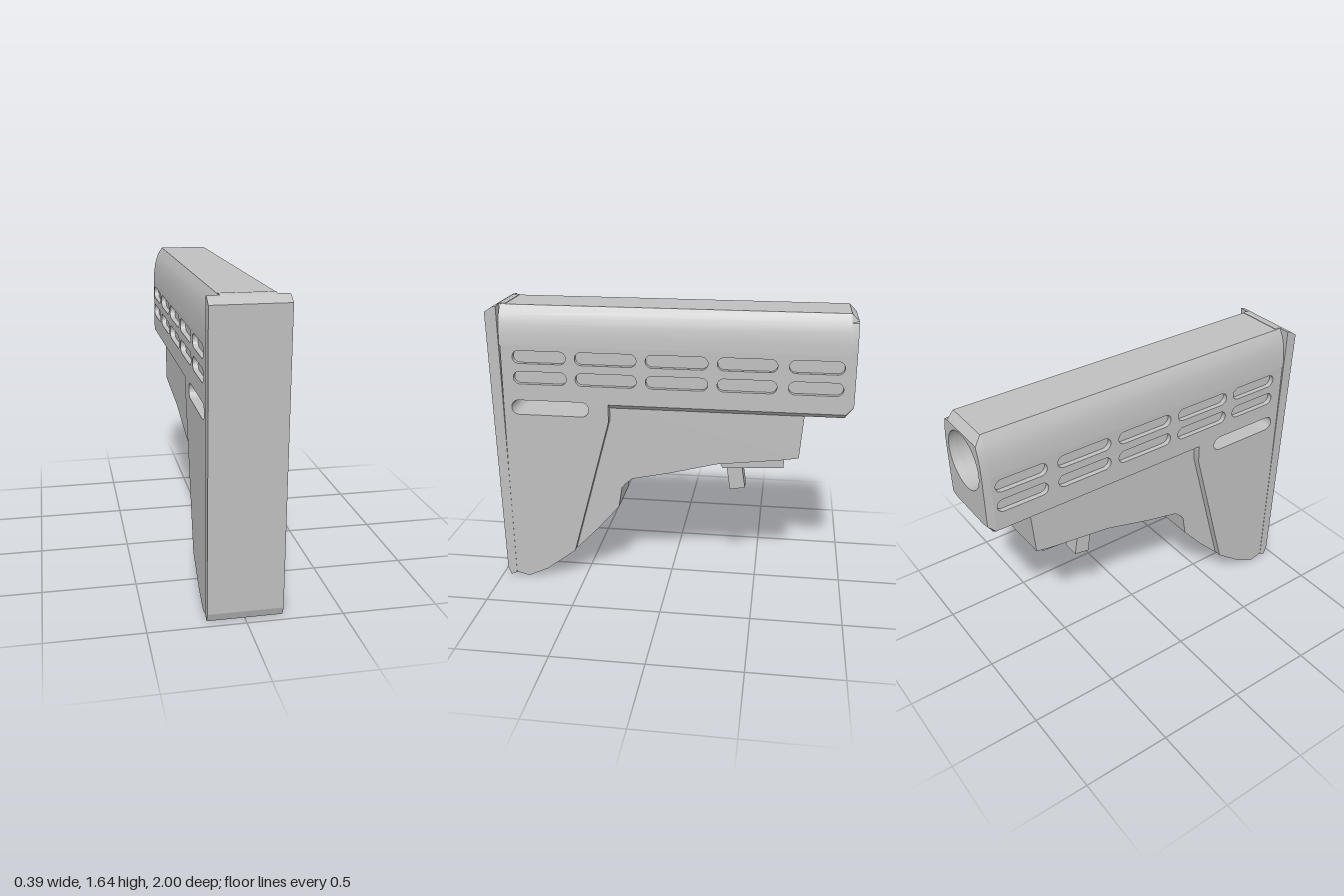
import * as THREE from 'three';
import { toCreasedNormals } from 'three/addons/utils/BufferGeometryUtils.js';

const W = 0.193;      // half width of the body
const SKIN = 0.028;   // depth of the side pockets
const BORE_Y = 1.43, BORE_R = 0.155;

const polygon = (pts) => new THREE.Shape(pts.map(([a, b]) => new THREE.Vector2(a, b)));

// Mirrors the right half of a cross-section (x, y), listed from bottom to top
const mirrored = (pts) => polygon([...pts, ...pts.map(([x, y]) => [-x, y]).reverse()]);

// Rounded slot outline between a and b with height h
function slot(a, b, y, h) {
  const r = h / 2, p = new THREE.Path();
  p.moveTo(a + r, y - r);
  p.lineTo(b - r, y - r);
  p.absarc(b - r, y, r, -Math.PI / 2, Math.PI / 2, false);
  p.lineTo(a + r, y + r);
  p.absarc(a + r, y, r, Math.PI / 2, Math.PI * 1.5, false);
  return p;
}

function boreHole() {
  const p = new THREE.Path();
  p.absarc(0, BORE_Y, BORE_R, 0, Math.PI * 2, true);
  return p;
}

// Side profile in (z, y), extruded across from x0 to x1
function across(shape, x0, x1) {
  const g = new THREE.ExtrudeGeometry(shape, { depth: x1 - x0, bevelEnabled: false, curveSegments: 10 });
  g.rotateY(-Math.PI / 2);
  g.translate(x1, 0, 0);
  return g;
}

// Cross-section in (x, y), extruded lengthwise from z0 to z1
function along(shape, z0, z1) {
  const g = new THREE.ExtrudeGeometry(shape, { depth: z1 - z0, bevelEnabled: false, curveSegments: 24 });
  g.translate(0, 0, z0);
  return g;
}

export function createModel() {
  const model = new THREE.Group();
  model.name = 'shoulderStock';
  const grey = new THREE.MeshStandardMaterial({ color: 0xbfbfbf });
  grey.name = 'grey';

  const add = (name, geometry, crease = 0.45) => {
    const mesh = new THREE.Mesh(toCreasedNormals(geometry, crease), grey);
    mesh.name = name;
    model.add(mesh);
  };

  // Tube housing: rounded top, inset sides, long round bore
  const shoulder = [[W, 1.42], [0.19, 1.48], [0.181, 1.54], [0.165, 1.59], [0.137, 1.635]];
  const core = mirrored([[W - SKIN, 1.12], [W - SKIN, 1.42], ...shoulder]);
  core.holes.push(boreHole());
  add('tubeHousing', along(core, -0.96, 0.93));

  // Rear collar: outer rim tapers towards the open end
  const collar = mirrored([[0.15, 1.075], [W, 1.1], ...shoulder]);
  collar.holes.push(boreHole());
  const collarGeo = along(collar, -1, -0.96);
  const pos = collarGeo.attributes.position;
  for (let i = 0; i < pos.count; i++) {
    const x = pos.getX(i), y = pos.getY(i);
    if (pos.getZ(i) < -0.99 && Math.hypot(x, y - BORE_Y) > BORE_R + 0.005) {
      pos.setX(i, x * 0.96);
      pos.setY(i, THREE.MathUtils.clamp(y, y < 1.09 ? 1.13 : 1.14, 1.595));
    }
  }
  collarGeo.computeVertexNormals();
  add('rearCollar', collarGeo, 0.3);

  // Side skins with two rows of pockets
  const skin = polygon([[-0.96, 1.13], [0.925, 1.13], [0.925, 1.42], [-0.96, 1.42]]);
  const pockets = [[0.56, 0.86], [0.17, 0.51], [-0.22, 0.12], [-0.59, -0.27], [-0.94, -0.65]];
  for (const [a, b] of pockets) {
    for (const y of [1.355, 1.238]) skin.holes.push(slot(a, b, y, 0.072));
  }
  add('leftSkin', across(skin, W - SKIN, W));
  add('rightSkin', across(skin, -W, SKIN - W));

  // Butt panel with the sling slot, and the band under the skins
  const panel = polygon([
    [-0.96, 1.13], [-0.96, 1.1], [0.33, 1.1], [0.33, 1.0], [0.55, 0.19],
    [0.72, 0.06], [0.84, 0.003], [0.92, 0.025], [0.925, 1.13],
  ]);
  panel.holes.push(slot(0.44, 0.88, 1.066, 0.084));
  add('buttPanel', across(panel, -W, W));

  // Chamfered underside of the housing
  add('undersideChamfer', along(mirrored([[0.15, 1.07], [W, 1.1]]), -0.96, 0.33));

  // Narrower grip web with a stepped lower edge
  add('gripWeb', across(polygon([
    [0.42, 1.0], [0.56, 0.19], [0.545, 0.19], [0.41, 0.33], [0.29, 0.47], [0.27, 0.59], [0.25, 0.615],
    [0.21, 0.65], [0.0, 0.695], [-0.27, 0.765], [-0.64, 0.81], [-0.725, 0.825],
    [-0.745, 1.08], [0.3, 1.09],
  ]), -0.15, 0.15), 0.2);

  // Butt plate
  add('buttPlate', across(polygon([
    [0.915, 0.02], [0.95, 0.005], [0.968, 0.05], [1.0, 1.6], [0.955, 1.63], [0.935, 1.633],
  ]), -0.195, 0.195), 0.2);
  add('buttPlateLip', across(polygon([
    [0.9, 1.62], [0.96, 1.62], [0.945, 1.634], [0.915, 1.64], [0.9, 1.638],
  ]), -0.135, 0.135), 0.2);

  // Adjustment lever and its pin
  add('leverPlate', across(polygon([
    [-0.27, 0.775], [-0.3, 0.712], [-0.645, 0.732], [-0.645, 0.83],
  ]), -0.07, 0.07), 0.2);
  add('leverPin', across(polygon([
    [-0.32, 0.73], [-0.343, 0.575], [-0.43, 0.59], [-0.408, 0.73],
  ]), -0.05, 0.05), 0.2);

  return model;
}
